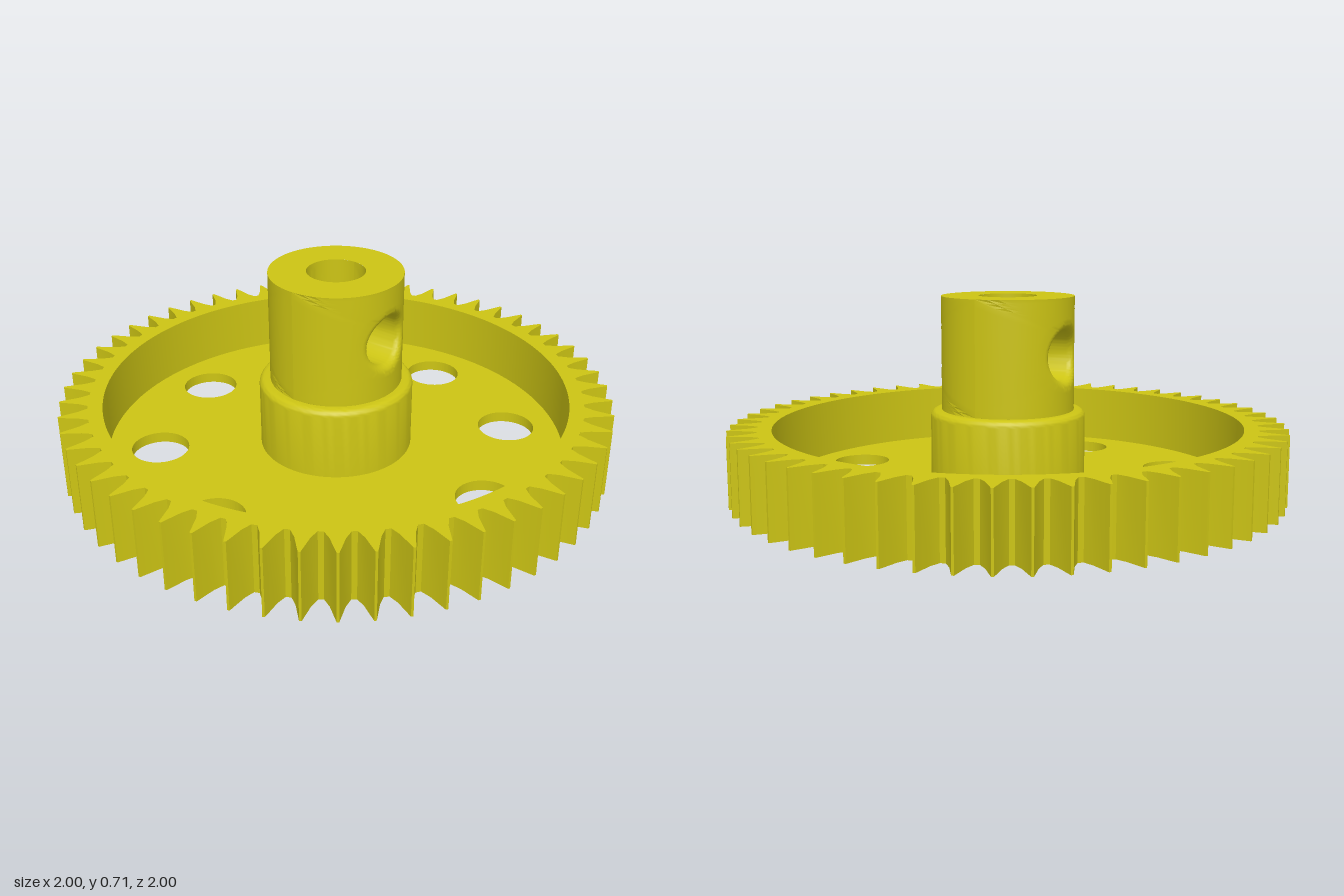
import * as THREE from 'three';
import { toCreasedNormals } from 'three/addons/utils/BufferGeometryUtils.js';

const TEETH = 56, RIM_R = 0.845, RIM_H = 0.255, FLOOR_H = 0.04;
const COLLAR_R = 0.28, COLLAR_H = 0.305, HUB_R = 0.24, HUB_H = 0.715, BORE_R = 0.105;

const material = new THREE.MeshStandardMaterial({ color: 0xccc414 });

function part(name, geometry) {
  const mesh = new THREE.Mesh(toCreasedNormals(geometry, 0.55), material);
  mesh.name = name;
  return mesh;
}

function circle(x, y, r) {
  return new THREE.Path().absarc(x, y, r, 0, Math.PI * 2, true);
}

// Flat outline lying on the ground, extruded upwards
function slab(shape, height) {
  return new THREE.ExtrudeGeometry(shape, { depth: height, bevelEnabled: false, curveSegments: 96 })
    .rotateX(-Math.PI / 2);
}

// Toothed rim: slim pointed teeth around an open ring
function rimGeometry() {
  const tooth = [[-0.046, 0.897], [-0.026, 0.93], [-0.004, 1], [0.004, 1], [0.026, 0.93], [0.046, 0.897]];
  const points = [];
  for (let i = 0; i < TEETH; i++) {
    for (const [da, r] of tooth) {
      const a = (i / TEETH) * Math.PI * 2 + da;
      points.push(new THREE.Vector2(r * Math.cos(a), r * Math.sin(a)));
    }
  }
  const shape = new THREE.Shape(points);
  shape.holes.push(circle(0, 0, RIM_R));
  return slab(shape, RIM_H);
}

// Thin floor with eight round openings
function floorGeometry() {
  const shape = new THREE.Shape().absarc(0, 0, RIM_R, 0, Math.PI * 2, false);
  shape.holes.push(circle(0, 0, COLLAR_R));
  for (let i = 0; i < 8; i++) {
    const a = (i * Math.PI) / 4;
    shape.holes.push(circle(0.655 * Math.cos(a), 0.655 * Math.sin(a), 0.105));
  }
  return slab(shape, FLOOR_H);
}

// Collar with rounded top edge and a flared bore mouth underneath
function collarGeometry() {
  const p = [[BORE_R, COLLAR_H], [BORE_R, 0.03]];
  for (let i = 1; i <= 5; i++) {
    const t = (i / 5) * Math.PI / 2;
    p.push([BORE_R + 0.03 * (1 - Math.cos(t)), 0.03 * (1 - Math.sin(t))]);
  }
  p.push([COLLAR_R, 0]);
  for (let i = 0; i <= 6; i++) {
    const t = (i / 6) * Math.PI / 2;
    p.push([COLLAR_R - 0.025 * (1 - Math.cos(t)), COLLAR_H - 0.025 * (1 - Math.sin(t))]);
  }
  p.push([HUB_R, COLLAR_H]);
  return new THREE.LatheGeometry(p.map(([x, y]) => new THREE.Vector2(x, y)), 96);
}

// Half of the hub: bore wall, cross hole with rounded mouth, outer wall.
// Each loop lies on a cylinder of radius R and blends from a hole of radius r
// (k = 0) to the edge of the half cylinder (k = 1).
function hubHalfGeometry() {
  const loops = [], N = 96, S = 8;
  const midY = (COLLAR_H + HUB_H) / 2, halfY = (HUB_H - COLLAR_H) / 2;
  for (let i = 0; i < S; i++) loops.push([BORE_R, 0.09, 1 - i / S]);
  loops.push([BORE_R, 0.09, 0]);
  for (let i = 0; i <= 6; i++) {
    const t = (i / 6) * Math.PI / 2;
    loops.push([0.21 + 0.03 * Math.sin(t), 0.12 - 0.03 * Math.cos(t), 0]);
  }
  for (let i = 1; i <= S; i++) loops.push([HUB_R, 0.12, i / S]);

  const position = [], index = [];
  loops.forEach(([R, r, k], i) => {
    for (let j = 0; j < N; j++) {
      const a = (j / N) * Math.PI * 2, c = Math.cos(a), s = Math.sin(a);
      const m = Math.max(Math.abs(c), Math.abs(s));
      const theta = THREE.MathUtils.lerp(Math.asin((r * c) / R), (c / m) * Math.PI / 2, k);
      const y = midY + THREE.MathUtils.lerp(r * s, (s / m) * halfY, k);
      position.push(R * Math.cos(theta), y, -R * Math.sin(theta));
      if (i === 0) continue;
      const n = (j + 1) % N, lo = (i - 1) * N, hi = i * N;
      index.push(lo + j, hi + j, hi + n, lo + j, hi + n, lo + n);
    }
  });
  const geometry = new THREE.BufferGeometry();
  geometry.setAttribute('position', new THREE.Float32BufferAttribute(position, 3));
  geometry.setIndex(index);
  return geometry;
}

export function createModel() {
  const gear = new THREE.Group();
  gear.name = 'gear';
  gear.add(part('toothedRim', rimGeometry()));
  gear.add(part('floor', floorGeometry()));
  gear.add(part('collar', collarGeometry()));

  const hub = new THREE.Group();
  hub.name = 'hub';
  const half = hubHalfGeometry();
  hub.add(part('hubLeftHalf', half));
  hub.add(part('hubRightHalf', half.clone().rotateY(Math.PI)));
  hub.add(part('hubTop', new THREE.RingGeometry(BORE_R, HUB_R, 96)
    .rotateX(-Math.PI / 2).translate(0, HUB_H, 0)));
  gear.add(hub);
  return gear;
}
